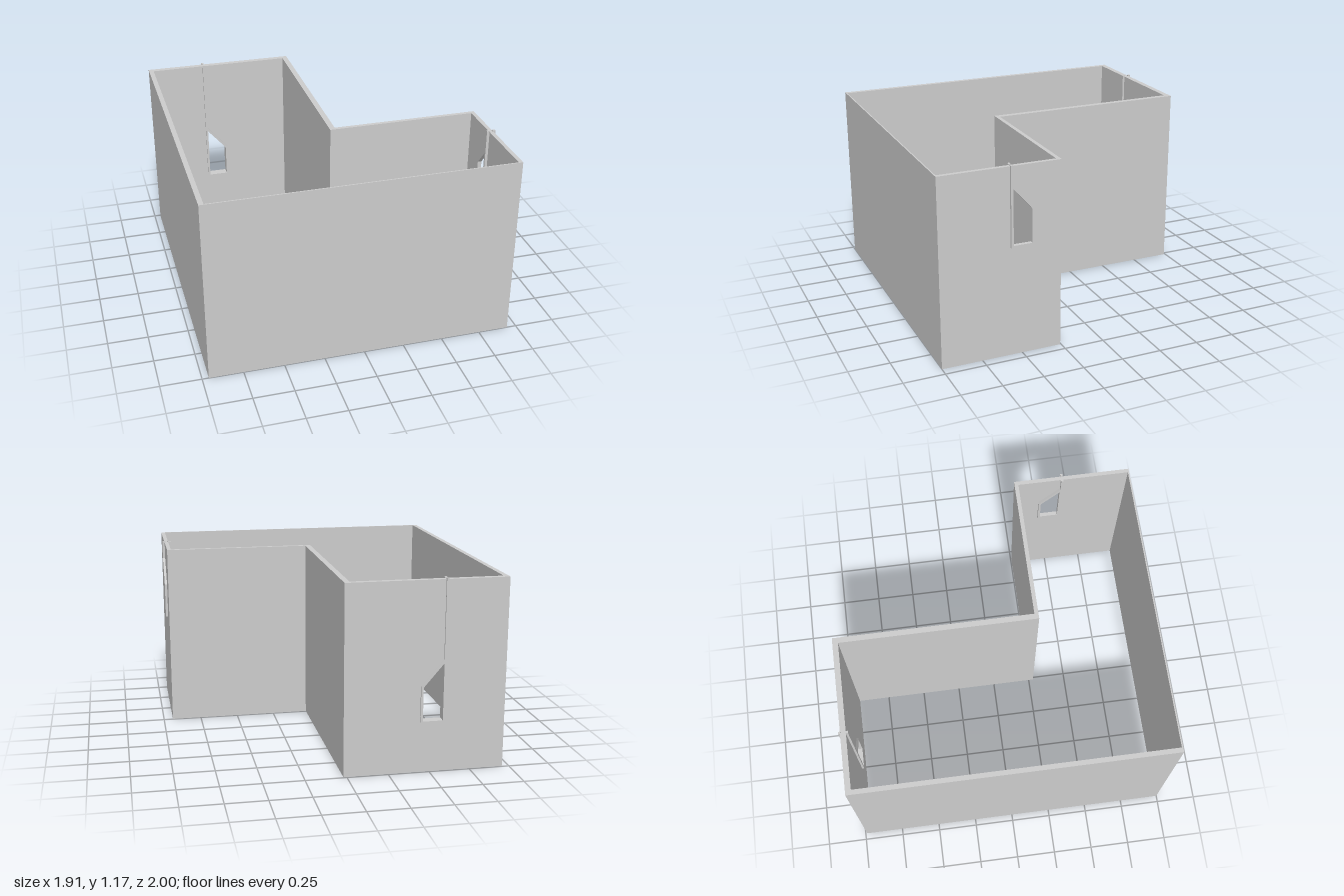
import * as THREE from 'three';

const H = 1.165;
const material = new THREE.MeshStandardMaterial({ color: 0xcccccc, flatShading: true });

// Slanted window: u is the stem edge, dir the side it opens to, base the sill height
const backWindow = { u: -0.59, dir: 1, base: 0.31 };
const rightWindow = { u: 0.57, dir: -1, base: 0.68 };

const place = (w, pts) => pts.map(([s, y]) => new THREE.Vector2(w.u + w.dir * s, w.base + y));

const opening = (w) => new THREE.Path(place(w, [
  [0.014, 0.007], [0.136, 0.007], [0.136, 0.215], [0.014, 0.357],
]));

function frameShape(w) {
  const top = H + 0.007 - w.base;
  const shape = new THREE.Shape(place(w, [
    [0, 0], [0.15, 0], [0.15, 0.222], [0.014, 0.38], [0.014, top], [0, top],
  ]));
  shape.holes.push(opening(w));
  return shape;
}

function wallShape(u0, u1, w) {
  const shape = new THREE.Shape([[u0, 0], [u1, 0], [u1, H], [u0, H]].map((p) => new THREE.Vector2(...p)));
  if (w) shape.holes.push(opening(w));
  return shape;
}

// Extrude an upright shape: along x it fills z = at .. at + depth,
// along z it fills x = at - depth .. at
function slab(name, shape, axis, at, depth) {
  const geometry = new THREE.ExtrudeGeometry(shape, { depth, bevelEnabled: false });
  const mesh = new THREE.Mesh(geometry, material);
  mesh.name = name;
  if (axis === 'x') {
    mesh.position.z = at;
  } else {
    mesh.rotation.y = -Math.PI / 2;
    mesh.position.x = at;
  }
  return mesh;
}

export function createModel() {
  const model = new THREE.Group();
  model.name = 'roomShell';

  // L-shaped ring of walls, open above and below
  model.add(
    slab('backWall', wallShape(-0.96, 0.02, backWindow), 'x', -0.99, 0.035),
    slab('frontWall', wallShape(-0.96, 0.94), 'x', 0.992, 0.008),
    slab('notchFrontWall', wallShape(-0.015, 0.94), 'x', 0.255, 0.025),
    slab('outerSideWall', wallShape(-0.99, 1), 'z', -0.93, 0.03),
    slab('notchSideWall', wallShape(-0.99, 0.28), 'z', 0.02, 0.035),
    slab('windowSideWall', wallShape(0.255, 1, rightWindow), 'z', 0.94, 0.025),
  );

  // Window frames with a stem up to the rim, one on each wall face
  for (const z of [-1, -0.958]) {
    model.add(slab('backWindowFrame', frameShape(backWindow), 'x', z, 0.016));
  }
  for (const x of [0.955, 0.918]) {
    model.add(slab('sideWindowFrame', frameShape(rightWindow), 'z', x, 0.02));
  }
  return model;
}
